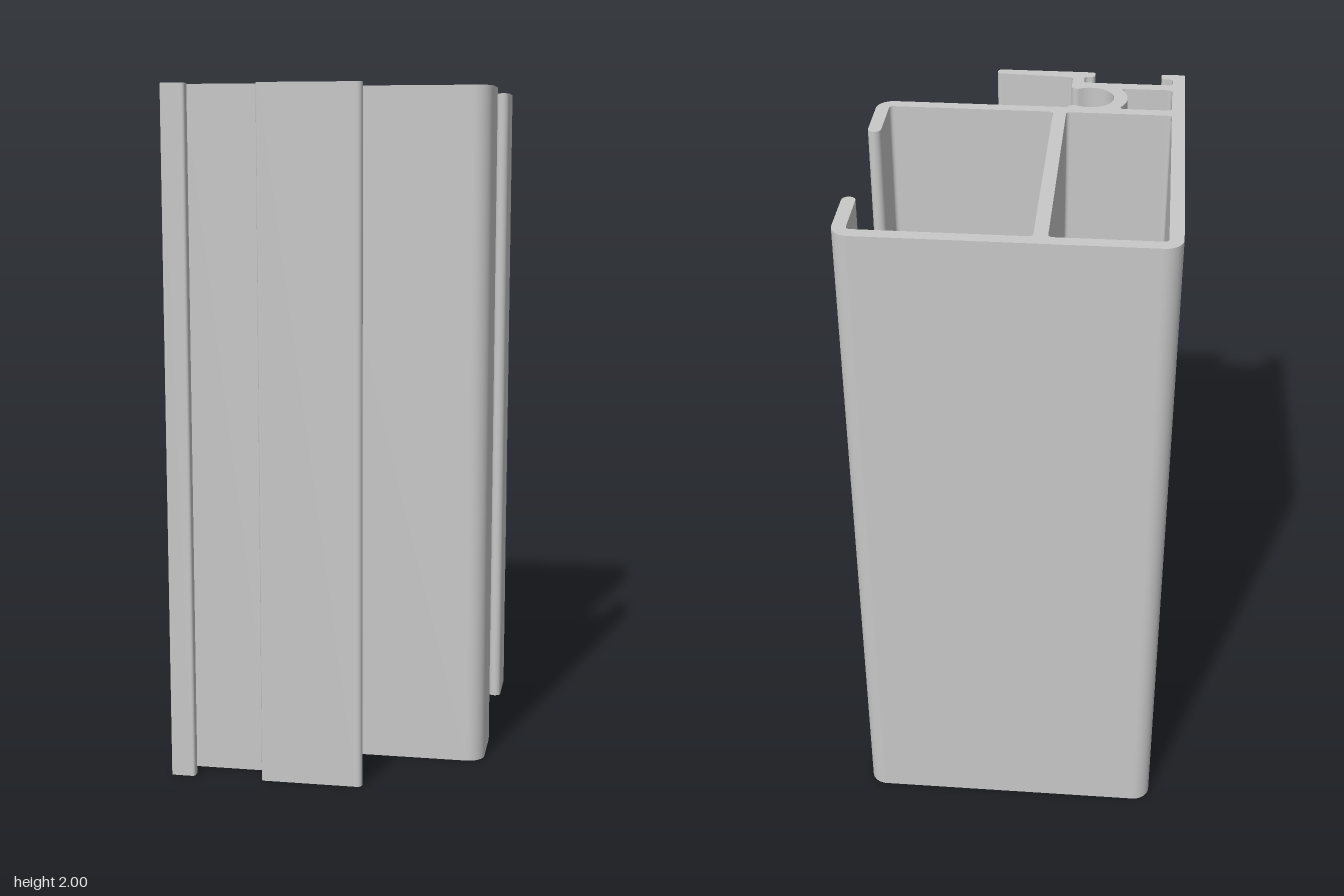
import * as THREE from 'three';
import { toCreasedNormals } from 'three/addons/utils/BufferGeometryUtils.js';

const V = (x, z) => new THREE.Vector2(x, -z);

// Closed outline from [x, z, radius] corners, each rounded by a tangent arc.
// A point just outside each arc end keeps the flats evenly shaded.
function rounded(corners) {
  const out = [];
  const n = corners.length;
  const margin = 0.0004;
  corners.forEach(([x, z, r = 0], i) => {
    const c = V(x, z);
    if (!r) { out.push(c); return; }
    const p = corners[(i + n - 1) % n], q = corners[(i + 1) % n];
    const u = V(p[0], p[1]).sub(c).normalize();
    const v = V(q[0], q[1]).sub(c).normalize();
    const half = Math.acos(THREE.MathUtils.clamp(u.dot(v), -1, 1)) / 2;
    const centre = u.clone().add(v).normalize().multiplyScalar(r / Math.sin(half)).add(c);
    const t = r / Math.tan(half);
    const a0 = u.clone().multiplyScalar(t).add(c).sub(centre).angle();
    let da = v.clone().multiplyScalar(t).add(c).sub(centre).angle() - a0;
    if (da > Math.PI) da -= 2 * Math.PI;
    if (da < -Math.PI) da += 2 * Math.PI;
    const steps = r > 0.03 ? 10 : 6;
    out.push(u.clone().multiplyScalar(t + margin).add(c));
    for (let k = 0; k <= steps; k++) {
      const a = a0 + da * k / steps;
      out.push(new THREE.Vector2(centre.x + r * Math.cos(a), centre.y + r * Math.sin(a)));
    }
    out.push(v.clone().multiplyScalar(t + margin).add(c));
  });
  return out;
}

// Arc points around the screw channel centre, angles in degrees
function screwArc(r, from, to, steps) {
  return Array.from({ length: steps + 1 }, (_, i) => {
    const a = THREE.MathUtils.degToRad(from + (to - from) * i / steps);
    return [-0.17 + r * Math.cos(a), 0.357 + r * Math.sin(a)];
  });
}

export function createModel() {
  const aluminium = new THREE.MeshStandardMaterial({ color: 0xc8c8c8 });
  aluminium.name = 'aluminium grey';

  const outline = rounded([
    // back wall and rear right flange
    [-0.448, -0.542, 0.05], [0.447, -0.542, 0.05],
    [0.447, -0.329, 0.0185], [0.409, -0.329, 0.0185],
    // inside of the open channel
    [0.409, -0.505, 0.012], [-0.068, -0.505, 0.012],
    [-0.068, 0.247, 0.012], [0.409, 0.247, 0.012],
    // front right flange
    [0.409, 0.069, 0.0185], [0.447, 0.069, 0.0185], [0.447, 0.283, 0.05],
    // screw channel with its two lips
    [-0.106, 0.283, 0.011], [-0.116, 0.301, 0.009],
    ...screwArc(0.07, -58, -302, 32),
    [-0.111, 0.414, 0.016],
    // long front fin
    [-0.111, 0.5, 0.014], [0.119, 0.512, 0.014], [0.119, 0.542, 0.014],
    [-0.177, 0.542, 0.008], [-0.177, 0.507, 0.011],
    // seal groove
    [-0.146, 0.507, 0.011], [-0.146, 0.464, 0.009],
    [-0.411, 0.464, 0.011], [-0.411, 0.507, 0.011],
    // short front lip
    [-0.377, 0.507, 0.011], [-0.377, 0.542, 0.008], [-0.448, 0.542, 0.007],
  ]);

  // Large closed chamber
  const mainChamber = rounded([
    [-0.41, -0.505, 0.012], [-0.106, -0.505, 0.012],
    [-0.106, 0.247, 0.012], [-0.41, 0.247, 0.012],
  ]);

  // Small chamber, its right side curving round the screw channel
  const smallChamber = rounded([
    [-0.41, 0.283, 0.012], [-0.259, 0.283, 0.008],
    ...screwArc(0.11, 213, 147, 12),
    [-0.259, 0.427, 0.008], [-0.41, 0.427, 0.012],
  ]);

  // Holes wind opposite to the outline so the chamber walls face inward
  const section = new THREE.Shape(outline);
  for (const hole of [mainChamber, smallChamber]) {
    section.holes.push(new THREE.Path(hole.reverse()));
  }

  // Normals are creased at a larger scale, so that close points stay distinct
  let geometry = new THREE.ExtrudeGeometry(section, { depth: 2, bevelEnabled: false });
  geometry.rotateX(-Math.PI / 2);
  geometry.scale(100, 100, 100);
  geometry = toCreasedNormals(geometry, 0.5);
  geometry.scale(0.01, 0.01, 0.01);

  const profile = new THREE.Mesh(geometry, aluminium);
  profile.name = 'extrudedProfile';
  const group = new THREE.Group();
  group.name = 'frameProfile';
  group.add(profile);
  return group;
}
